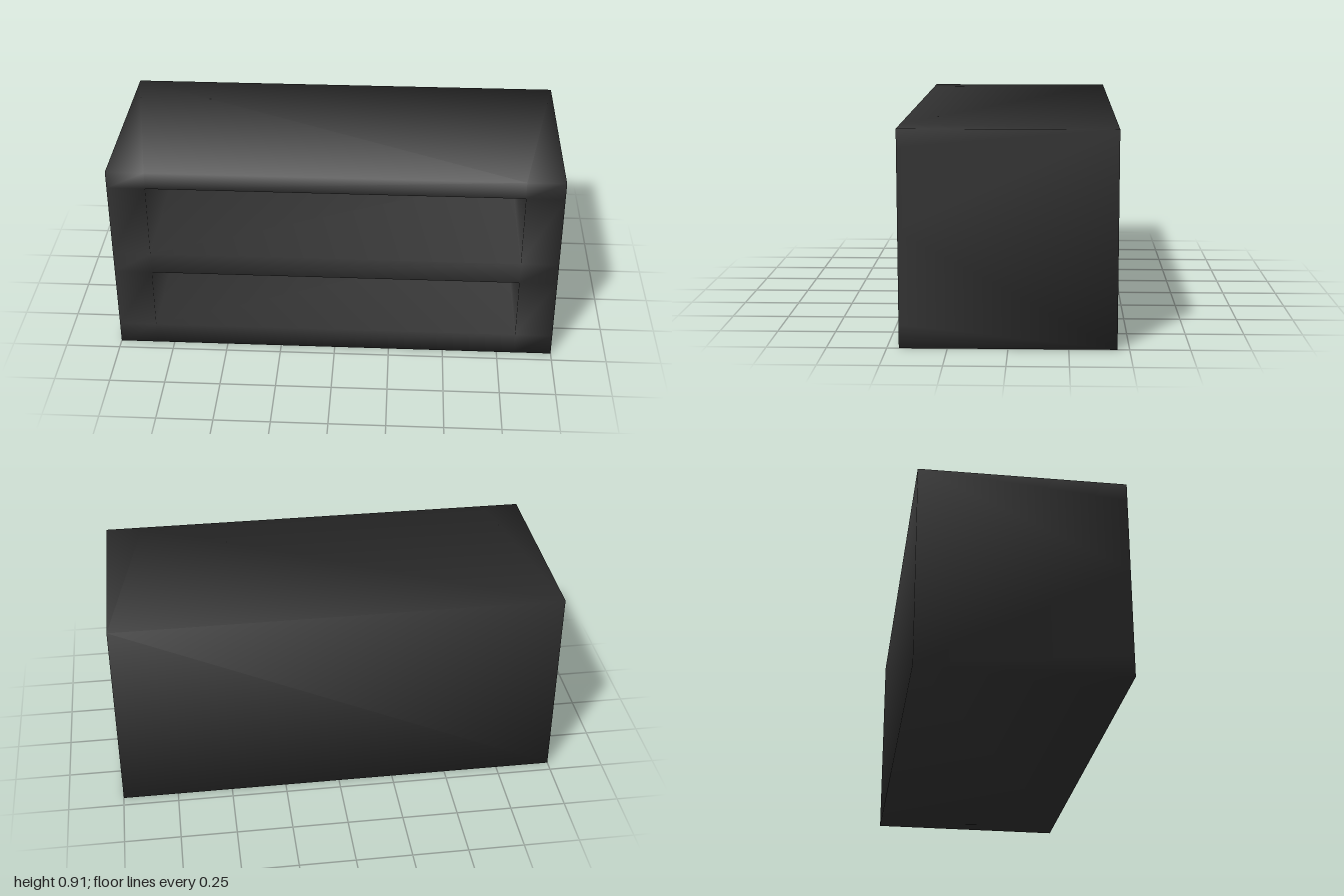
import * as THREE from 'three';

// Low cabinet with two open shelves; normals are shared across all edges so the shading is soft.
const XS = [-1, -0.83, 0.83, 1];
const YS = [0, 0.1, 0.39, 0.49, 0.83, 0.91];
const FRONT = 0.45, BACK = -0.45, RECESS = -0.33;

export function createModel() {
  const group = new THREE.Group();
  const black = new THREE.MeshStandardMaterial({ color: 0x333333 });
  black.name = 'charcoal';
  const normals = new Map();
  const parts = { outerCase: [], frontFrame: [], shelfRecesses: [] };
  const v = (x, y, z) => new THREE.Vector3(x, y, z);
  const key = (p) => p.toArray().map((c) => c.toFixed(3)).join();

  // Adds a triangle facing n and its angle-weighted share of the corner normals
  function tri(part, a, b, c, n) {
    const cross = b.clone().sub(a).cross(c.clone().sub(a));
    const t = cross.dot(n) > 0 ? [a, b, c] : [a, c, b];
    t.forEach((p, i) => {
      const angle = t[(i + 1) % 3].clone().sub(p).angleTo(t[(i + 2) % 3].clone().sub(p));
      if (!normals.has(key(p))) normals.set(key(p), v(0, 0, 0));
      normals.get(key(p)).addScaledVector(n, angle);
      parts[part].push(p);
    });
  }
  function quad(part, a, b, c, d, n) {
    tri(part, a, b, c, n);
    tri(part, a, c, d, n);
  }
  // Joins a divided front edge to an undivided back edge
  function side(front, b0, b1, n) {
    const half = Math.floor(front.length / 2);
    for (let i = 0; i < front.length - 1; i++) {
      tri('outerCase', i < half ? b0 : b1, front[i], front[i + 1], n);
    }
    tri('outerCase', b0, front[half], b1, n);
  }

  // Outer case: top, bottom, sides and back
  const top = YS[5];
  for (const [y, ny] of [[0, -1], [top, 1]]) {
    side(XS.map((x) => v(x, y, FRONT)), v(-1, y, BACK), v(1, y, BACK), v(0, ny, 0));
  }
  for (const x of [-1, 1]) {
    side(YS.map((y) => v(x, y, FRONT)), v(x, 0, BACK), v(x, top, BACK), v(x, 0, 0));
  }
  quad('outerCase', v(-1, 0, BACK), v(1, 0, BACK), v(1, top, BACK), v(-1, top, BACK), v(0, 0, -1));

  // Front frame, with the middle cells of rows 1 and 3 sunk as shelves
  for (let i = 0; i < 3; i++) {
    for (let j = 0; j < 5; j++) {
      const [x0, x1, y0, y1] = [XS[i], XS[i + 1], YS[j], YS[j + 1]];
      const ring = (z) => [v(x0, y0, z), v(x1, y0, z), v(x1, y1, z), v(x0, y1, z)];
      const open = i === 1 && j % 2 === 1;
      const f = ring(FRONT);
      if (!open) {
        quad('frontFrame', ...f, v(0, 0, 1));
        continue;
      }
      const r = ring(RECESS);
      const inward = [v(0, 1, 0), v(-1, 0, 0), v(0, -1, 0), v(1, 0, 0)];
      quad('shelfRecesses', ...r, v(0, 0, 1));
      inward.forEach((n, k) => {
        const m = (k + 1) % 4;
        quad('shelfRecesses', f[k], f[m], r[m], r[k], n);
      });
    }
  }

  // Meshes
  for (const [name, points] of Object.entries(parts)) {
    const geometry = new THREE.BufferGeometry().setFromPoints(points);
    const n = points.flatMap((p) => normals.get(key(p)).clone().normalize().toArray());
    geometry.setAttribute('normal', new THREE.Float32BufferAttribute(n, 3));
    const mesh = new THREE.Mesh(geometry, black);
    mesh.name = name;
    group.add(mesh);
  }
  group.name = 'shelfCabinet';
  return group;
}
